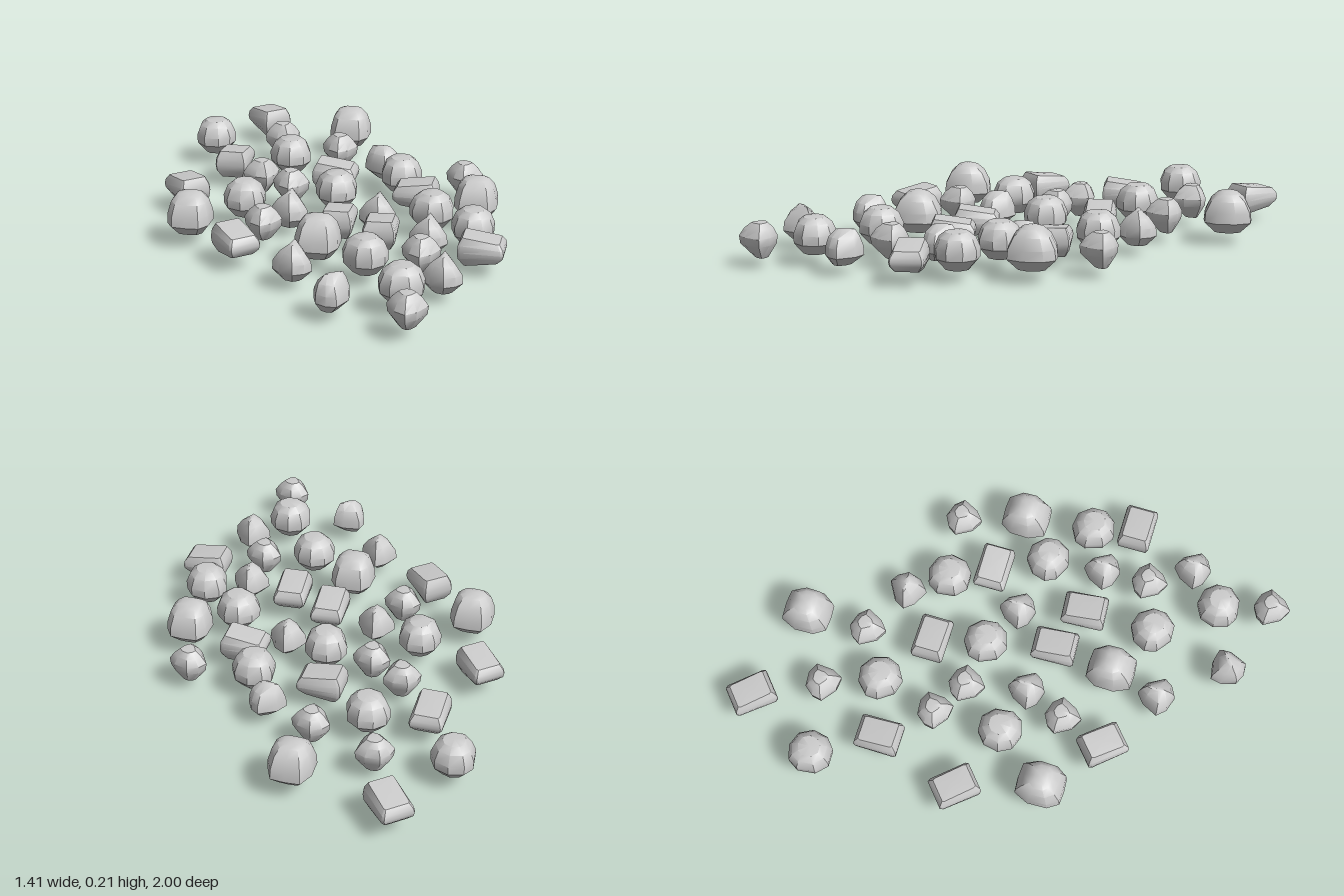
import * as THREE from 'three';
import { toCreasedNormals } from 'three/addons/utils/BufferGeometryUtils.js';

// Stone lofted from one plan outline [x, z] through levels [y, scaleX, scaleZ, shiftZ];
// wedge thins the stone towards its +x end.
function stoneGeometry(outline, levels, wedge = 0) {
  const n = outline.length, pos = [], index = [];
  const mid = (levels[0][0] + levels[levels.length - 1][0]) / 2;
  const put = (x, y, z) => pos.push(x, mid + (y - mid) * (1 - wedge * x / 0.085), z);
  for (const [y, sx, sz, dz = 0] of levels)
    for (const [x, z] of outline) put(x * sx, y, z * sz + dz);
  for (let l = 0; l < levels.length - 1; l++)
    for (let i = 0; i < n; i++) {
      const a = l * n + i, b = l * n + (i + 1) % n, c = b + n, d = a + n;
      index.push(a, d, b, b, d, c);
    }
  const last = levels[levels.length - 1], top = (levels.length - 1) * n, bottomMid = levels.length * n;
  put(0, levels[0][0], levels[0][3] ?? 0);
  put(0, last[0] + 0.003, last[3] ?? 0);
  for (let i = 0; i < n; i++) {
    const j = (i + 1) % n;
    index.push(bottomMid, i, j, bottomMid + 1, top + j, top + i);
  }
  const geo = new THREE.BufferGeometry();
  geo.setAttribute('position', new THREE.Float32BufferAttribute(pos, 3));
  geo.setIndex(index);
  return toCreasedNormals(geo, 0.62);
}

const kite = [[-0.073, -0.016], [-0.052, -0.048], [-0.012, -0.069], [0.042, -0.052],
  [0.073, -0.018], [0.042, 0.042], [0.006, 0.072], [-0.036, 0.048]];

const kinds = {
  // flat oblong slabs with bevelled rims
  slab: stoneGeometry(
    [[-0.085, -0.058], [-0.075, -0.064], [0.075, -0.064], [0.085, -0.058],
      [0.085, 0.058], [0.075, 0.064], [-0.075, 0.064], [-0.085, 0.058]],
    [[0.052, 0.72, 0.7], [0.08, 0.97, 0.95], [0.1, 1, 1], [0.122, 0.97, 0.95], [0.146, 0.8, 0.76]], 0.25),
  // large domed boulders
  dome: stoneGeometry(
    [[-0.082, -0.03], [-0.055, -0.088], [0, -0.092], [0.055, -0.088], [0.082, -0.03],
      [0.08, 0.045], [0.052, 0.088], [0, 0.092], [-0.052, 0.088], [-0.08, 0.045]],
    [[0.05, 0.62, 0.55], [0.092, 1, 1], [0.13, 0.98, 0.96], [0.175, 0.83, 0.72], [0.2, 0.6, 0.42], [0.207, 0.35, 0.25]]),
  // rounded stones with a flattish crown
  round: stoneGeometry(
    [[-0.08, -0.03], [-0.055, -0.07], [0, -0.086], [0.055, -0.066], [0.082, -0.015],
      [0.07, 0.045], [0.03, 0.078], [-0.03, 0.08], [-0.072, 0.04]],
    [[0.048, 0.55, 0.55], [0.09, 0.98, 0.98], [0.125, 1, 1], [0.165, 0.8, 0.8], [0.185, 0.5, 0.5]]),
  // small pebbles with a square crown
  pebble: stoneGeometry(kite,
    [[0.038, 0.4, 0.35, -0.01], [0.09, 0.95, 0.95], [0.12, 1, 1], [0.15, 0.72, 0.75, -0.003], [0.17, 0.42, 0.42, -0.006]]),
  // small pebbles with a ridge
  ridge: stoneGeometry(kite,
    [[0.04, 0.5, 0.5, -0.01], [0.075, 1, 1], [0.11, 0.96, 0.97], [0.145, 0.62, 0.8], [0.172, 0.12, 0.5, 0.006]]),
};

const Q = Math.PI / 2, P = Math.PI;
// placement: [x, z, turn, lift]
const places = {
  slab: [[-0.47, -0.905, 2.28], [-0.49, -0.385, Q], [-0.055, -0.31, 0], [0.295, -0.165, P],
    [-0.6, -0.05, 2.28], [0.05, 0.155, Q + 0.05], [0.225, 0.225, Q + 0.07], [0.62, 0.33, 0], [-0.28, 0.44, -0.86]],
  dome: [[-0.09, -0.805, 0], [0.54, -0.105, P], [-0.5, 0.26, 0], [0.02, 0.39, P]],
  round: [[-0.63, -0.61, 0], [-0.27, -0.45, 0.5], [0.21, -0.32, 0], [-0.01, -0.105, 0.3], [0.39, 0.03, 1],
    [-0.34, 0.05, P], [0.565, 0.165, 0.2], [0.22, 0.5, 0.8], [0.39, 0.72, Q]],
  pebble: [[-0.09, -0.56, 0], [0.46, -0.34, 0], [-0.2, -0.125, 0], [-0.22, 0.265, 0],
    [0.41, 0.435, 0], [0.44, 0.92, 0], [-0.35, -0.655, 0.4], [-0.335, -0.21, 0.4]],
  ridge: [[0.11, -0.465, -Q], [0.17, -0.03, P, -0.04], [-0.15, 0.1, P], [0.41, 0.245, P],
    [-0.03, 0.585, P], [0.515, 0.585, P], [0.16, 0.815, 2.2]],
};

export function createModel() {
  const model = new THREE.Group();
  model.name = 'scatteredStones';
  const material = new THREE.MeshStandardMaterial({ color: 0xcccccc });
  for (const [kind, list] of Object.entries(places)) {
    const group = new THREE.Group();
    group.name = kind + 'Stones';
    list.forEach(([x, z, turn, lift = 0], i) => {
      const stone = new THREE.Mesh(kinds[kind], material);
      stone.name = `${kind}Stone${i + 1}`;
      stone.position.set(x, lift, z);
      stone.rotation.y = turn;
      group.add(stone);
    });
    model.add(group);
  }
  return model;
}
